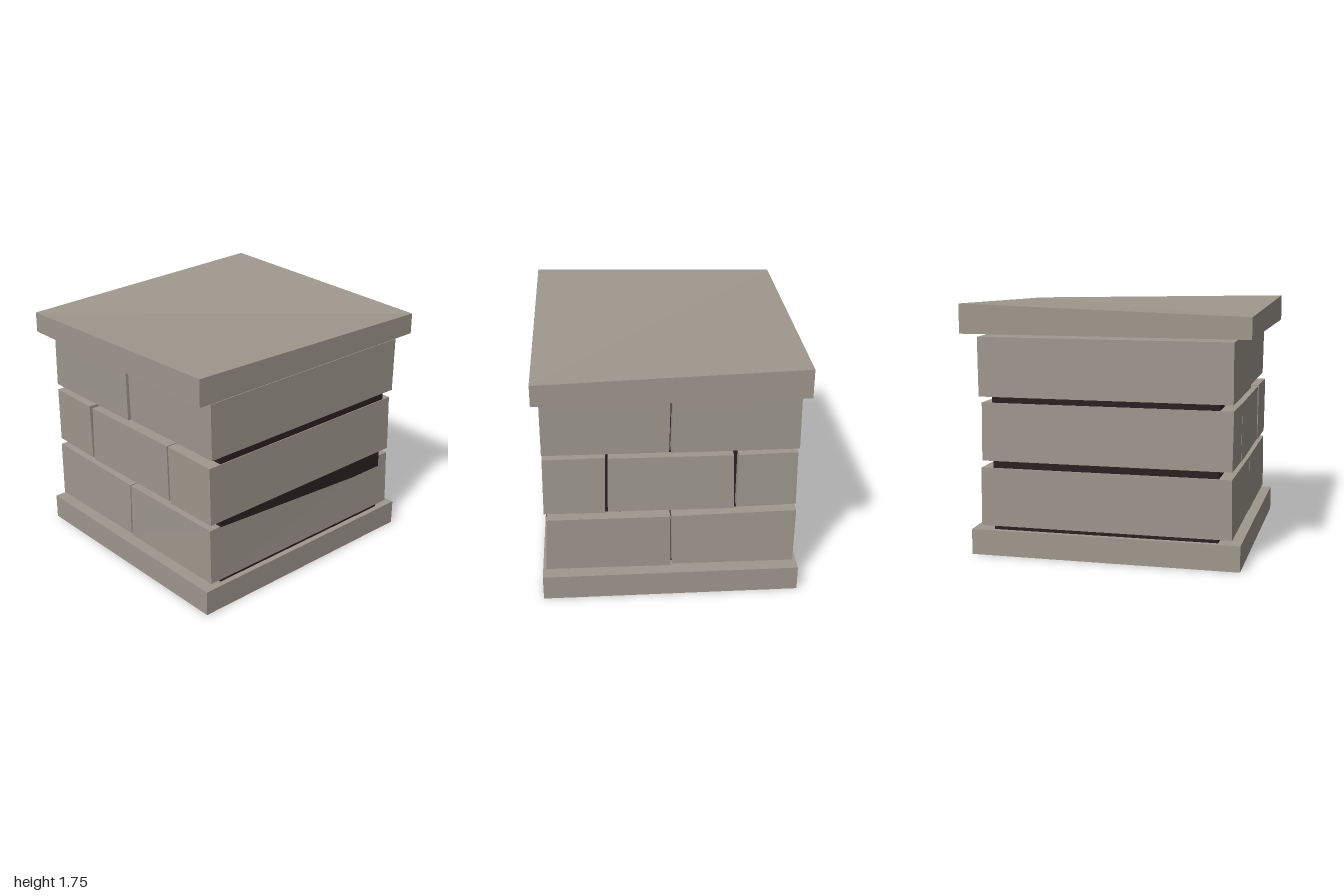
import * as THREE from 'three';

const stone = new THREE.MeshStandardMaterial({ color: 0x9f988e });
stone.name = 'stone';
const mortar = new THREE.MeshStandardMaterial({ color: 0x2b2122 });
mortar.name = 'darkMortar';

// A box whose eight corners are placed by place(right, top, front) -> [x, y, z]
function block(name, material, place) {
  const box = new THREE.BoxGeometry(1, 1, 1);
  const p = box.attributes.position;
  for (let i = 0; i < p.count; i++) {
    p.setXYZ(i, ...place(+(p.getX(i) > 0), +(p.getY(i) > 0), +(p.getZ(i) > 0)));
  }
  const geometry = box.toNonIndexed();
  geometry.computeVertexNormals();
  const mesh = new THREE.Mesh(geometry, material);
  mesh.name = name;
  return mesh;
}

const slab = (name, material, x, y0, y1, z) =>
  block(name, material, (r, t, f) => [r ? x : -x, t ? y1 : y0, f ? z : -z]);

// Slightly uneven stones running the full depth of the pillar.
// left/right: x at [bottom, top]; low/high: y at [left, right];
// back/front: z at [bottom, top]; dip: inward shift of the right back top corner
const courses = {
  lowerCourse: [
    { left: [-0.868, -0.875], right: [-0.01, -0.006], low: [0.205, 0.212], high: [0.618, 0.606],
      back: [-0.88, -0.875], front: [0.885, 0.88] },
    { left: [0.0, 0.003], right: [0.873, 0.86], low: [0.2, 0.207], high: [0.606, 0.61],
      back: [-0.88, -0.88], front: [0.882, 0.88], dip: 0.0034 },
  ],
  middleCourse: [
    { left: [-0.87, -0.865], right: [-0.455, -0.46], low: [0.668, 0.66], high: [1.075, 1.07],
      back: [-0.868, -0.865], front: [0.88, 0.885] },
    { left: [-0.438, -0.428], right: [0.432, 0.422], low: [0.652, 0.66], high: [1.066, 1.072],
      back: [-0.87, -0.86], front: [0.88, 0.882] },
    { left: [0.452, 0.442], right: [0.872, 0.866], low: [0.65, 0.656], high: [1.078, 1.074],
      back: [-0.868, -0.858], front: [0.882, 0.887] },
  ],
  upperCourse: [
    { left: [-0.87, -0.865], right: [0.0, -0.012], low: [1.116, 1.116], high: [1.527, 1.535],
      back: [-0.885, -0.89], front: [0.882, 0.88] },
    { left: [0.013, 0.004], right: [0.866, 0.864], low: [1.12, 1.124], high: [1.53, 1.52],
      back: [-0.885, -0.89], front: [0.865, 0.872] },
  ],
};

export function createModel() {
  const model = new THREE.Group();
  model.name = 'stonePillar';

  model.add(slab('baseSlab', stone, 0.9, 0, 0.18, 0.945));
  model.add(slab('mortarCore', mortar, 0.86, 0.17, 1.51, 0.79));

  // Three courses of stones
  for (const [name, stones] of Object.entries(courses)) {
    const course = new THREE.Group();
    course.name = name;
    stones.forEach((s, i) => course.add(block(`stone${i + 1}`, stone, (r, t, f) => [
      (r ? s.right : s.left)[t] - (r && t && !f ? s.dip || 0 : 0),
      (t ? s.high : s.low)[r],
      (f ? s.front : s.back)[t],
    ])));
    model.add(course);
  }

  // Capstone with an uneven top: heights by [right][front]
  const heights = [[1.755, 1.695], [1.7, 1.742]];
  model.add(block('capstone', stone, (r, t, f) =>
    [r ? 0.91 : -0.91, t ? heights[r][f] : 1.55, f ? 1 : -1]));

  return model;
}
